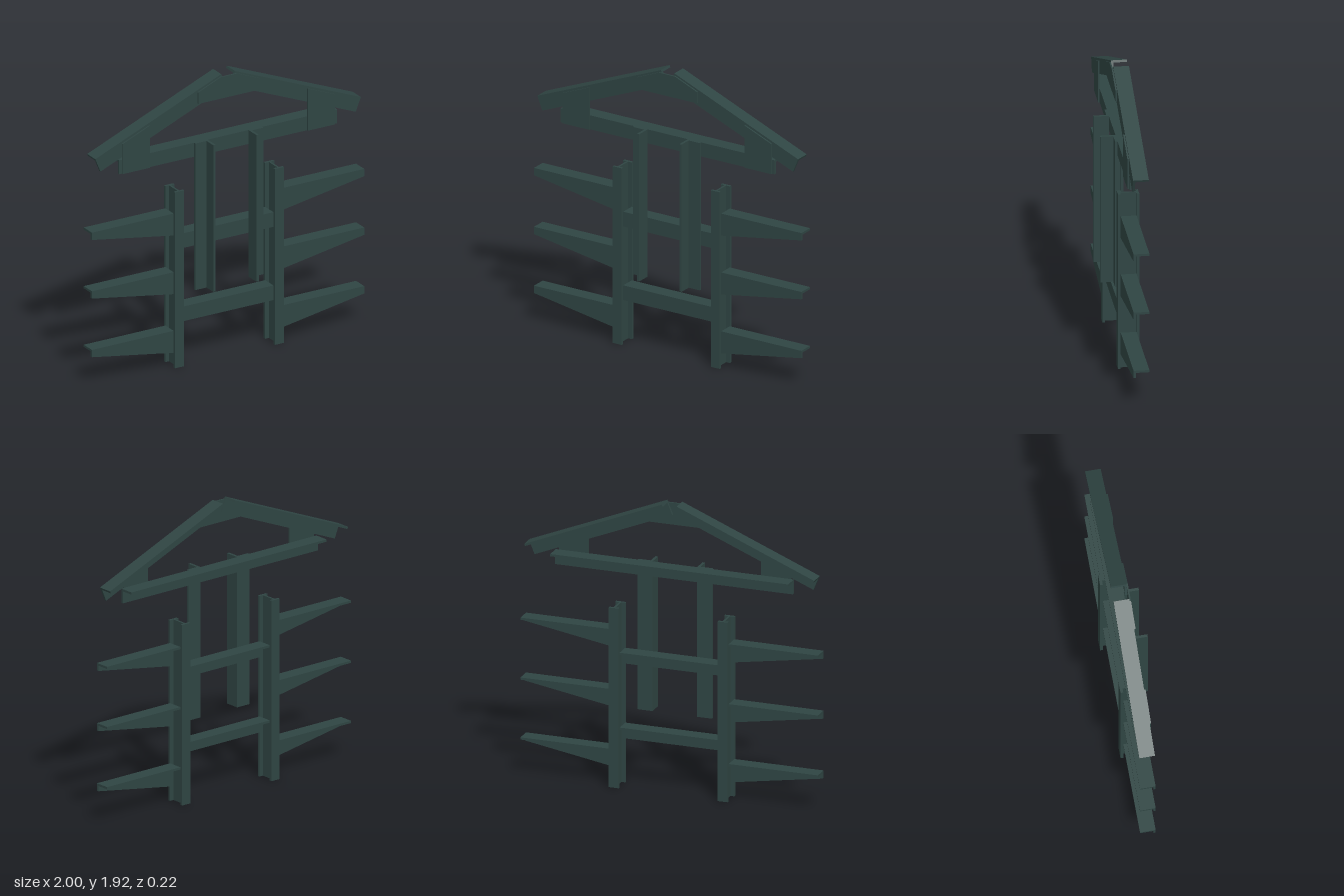
import * as THREE from 'three';

const steel = new THREE.MeshStandardMaterial({ color: 0x2f4543, flatShading: true });
const T = 0.015;                 // plate thickness
const FRONT = 0.01, BACK = -0.09; // depth range of the angle sections

// Box given by its limits on each axis
function box(name, [x0, x1], [y0, y1], [z0, z1]) {
  const mesh = new THREE.Mesh(new THREE.BoxGeometry(x1 - x0, y1 - y0, z1 - z0), steel);
  mesh.position.set((x0 + x1) / 2, (y0 + y1) / 2, (z0 + z1) / 2);
  mesh.name = name;
  return mesh;
}

// Flat plate cut from an outline in the front plane
function plate(name, points, z, depth) {
  const shape = new THREE.Shape(points.map(([x, y]) => new THREE.Vector2(x, y)));
  const mesh = new THREE.Mesh(new THREE.ExtrudeGeometry(shape, { depth, bevelEnabled: false }), steel);
  mesh.position.z = z;
  mesh.name = name;
  return mesh;
}

// L section: upright leg at the front, top leg reaching back; top edge at y = 0
function angleBar(name, x0, x1, height = 0.1) {
  const bar = new THREE.Group();
  bar.name = name;
  bar.add(
    box('uprightLeg', [x0, x1], [-height, 0], [FRONT - T, FRONT]),
    box('topLeg', [x0, x1], [-T, 0], [BACK, FRONT - T])
  );
  return bar;
}

// Limits mirrored to the given side
const span = (s, a, b) => (s > 0 ? [a, b] : [-b, -a]);

// H section column
function column(s) {
  const g = new THREE.Group();
  g.name = 'column';
  const x = span(s, 0.333, 0.4), y = [0, 1.2];
  g.add(
    box('frontFlange', x, y, [FRONT, 0.027]),
    box('backFlange', x, y, [-0.108, BACK]),
    box('web', span(s, 0.36, 0.373), y, [BACK, FRONT])
  );
  return g;
}

// Tapered arm with a flat top leg
function arm(s, top) {
  const g = new THREE.Group();
  g.name = 'taperedArm';
  const outline = [[0.4, 0], [0.4, -0.15], [1, -0.05], [1, 0]].map(([x, y]) => [s * x, y]);
  g.add(
    plate('uprightLeg', outline, FRONT - T, T),
    box('topLeg', span(s, 0.4, 1), [-T, 0], [BACK, FRONT - T])
  );
  g.position.y = top;
  return g;
}

// Hanging angle with its stem on the inner edge, pointing forward
function hanger(s) {
  const g = new THREE.Group();
  g.name = 'hanger';
  const y = [0.5, 1.5];
  g.add(
    box('flange', span(s, 0.15, 0.25), y, [FRONT, 0.025]),
    box('stem', span(s, 0.15, 0.167), y, [0.025, 0.108])
  );
  return g;
}

export function createModel() {
  const model = new THREE.Group();
  model.name = 'steelFrame';

  for (const s of [1, -1]) {
    model.add(column(s), hanger(s));
    for (const top of [1.05, 0.65, 0.25]) model.add(arm(s, top));

    // Sloping rafter
    const rafter = angleBar('rafter', ...span(s, 0, 1));
    rafter.position.set(s * 0.05, 1.925, 0);
    rafter.rotation.z = -s * Math.atan(0.41);
    model.add(rafter);

    // Gusset joining rafter and chord
    const eave = [[0.58, 1.405], [0.78, 1.405], [0.78, 1.61], [0.58, 1.692]];
    model.add(plate('eaveGusset', eave.map(([x, y]) => [s * x, y]), FRONT, 0.01));
  }

  // Cross bars between the columns
  for (const top of [0.9, 0.4]) {
    const bar = angleBar('crossBar', -0.333, 0.333);
    bar.position.y = top;
    model.add(bar);
  }

  // Bottom chord of the truss
  const chord = angleBar('bottomChord', -0.8, 0.8, 0.095);
  chord.position.y = 1.5;
  model.add(chord);

  // Gusset at the ridge
  model.add(plate('ridgeGusset', [
    [-0.225, 1.763], [0.225, 1.763], [0.225, 1.84], [0.06, 1.909], [-0.06, 1.909], [-0.225, 1.84]
  ], FRONT, 0.01));

  return model;
}
